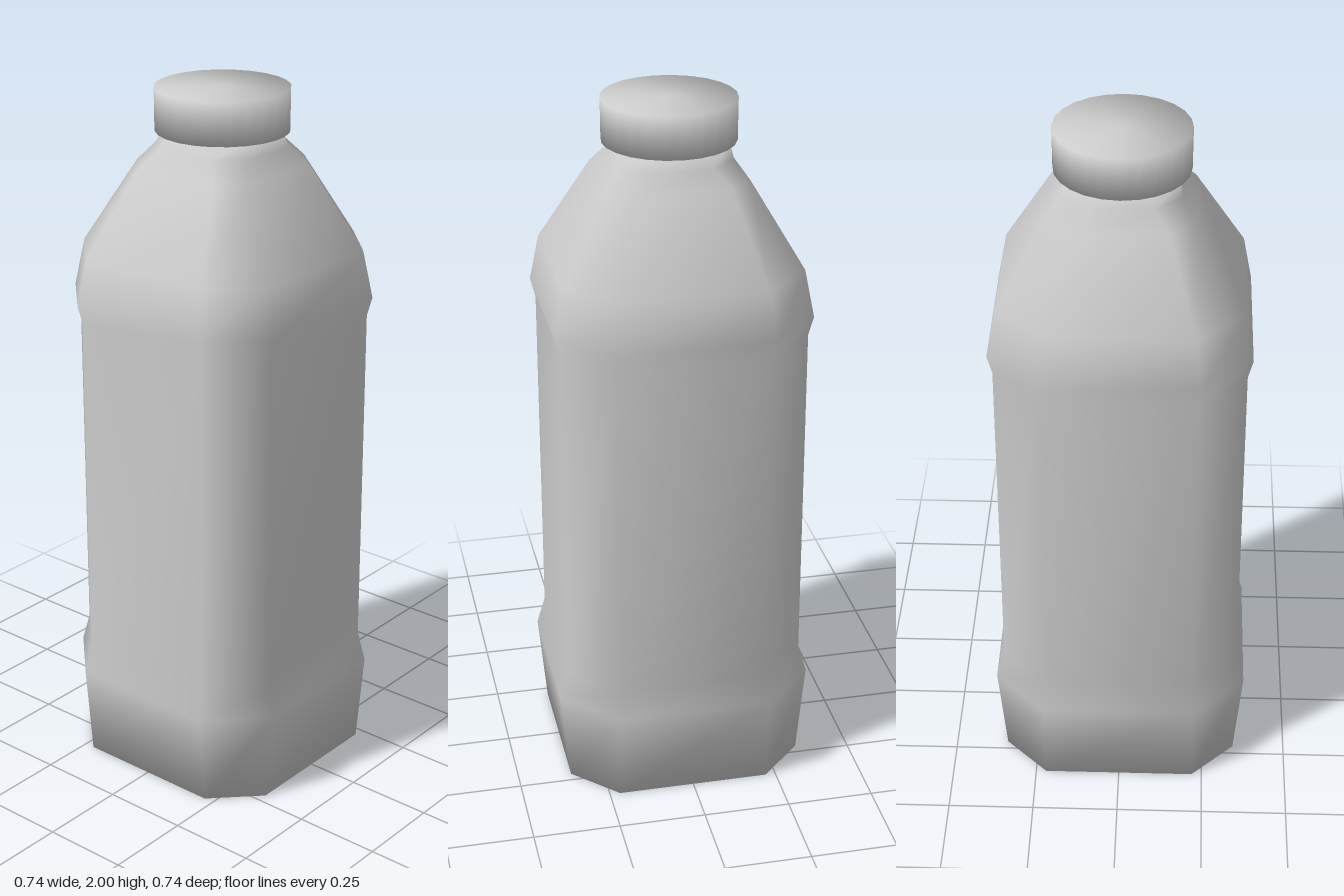
import * as THREE from 'three';

// Octagon ring: half width h, half length of the straight side c
function octagon(y, h, c) {
  return [[h, c], [h, -c], [c, -h], [-c, -h], [-h, -c], [-h, c], [-c, h], [c, h]]
    .map(([x, z]) => [x, y, z]);
}

// Round ring, running in the same direction as the octagon
function circle(y, r, n) {
  return Array.from({ length: n }, (_, i) => {
    const a = (i / n) * Math.PI * 2;
    return [r * Math.cos(a), y, -r * Math.sin(a)];
  });
}

// Skin rings from bottom to top and close both ends, with shared smooth normals
function loft(rings) {
  const n = rings[0].length;
  const points = rings.flat();
  const index = [];
  for (let k = 0; k < rings.length - 1; k++) {
    for (let i = 0; i < n; i++) {
      const a = k * n + i, b = k * n + ((i + 1) % n);
      index.push(a, b, b + n, a, b + n, a + n);
    }
  }
  const last = (rings.length - 1) * n;
  const bottom = points.push([0, rings[0][0][1], 0]) - 1;
  const top = points.push([0, rings[rings.length - 1][0][1], 0]) - 1;
  for (let i = 0; i < n; i++) {
    const j = (i + 1) % n;
    index.push(bottom, j, i, top, last + i, last + j);
  }
  const geometry = new THREE.BufferGeometry();
  geometry.setAttribute('position', new THREE.Float32BufferAttribute(points.flat(), 3));
  geometry.setIndex(index);
  geometry.computeVertexNormals();
  return geometry;
}

export function createModel() {
  const group = new THREE.Group();
  group.name = 'bottle';
  const material = new THREE.MeshStandardMaterial({ color: 0xcccccc });

  // Body: base bulge, recessed grip, shoulder bulge, sloped shoulder and neck
  const sections = [
    [0, 0.345, 0.22], [0.27, 0.37, 0.22], [0.355, 0.346, 0.215],
    [1.36, 0.346, 0.215], [1.415, 0.36, 0.22], [1.55, 0.335, 0.205],
    [1.79, 0.197, 0.13], [1.84, 0.16, 0.09], [1.885, 0.152, 0.065],
  ];
  const body = new THREE.Mesh(loft(sections.map((s) => octagon(...s))), material);
  body.name = 'body';

  // Screw cap
  const cap = new THREE.Mesh(loft([circle(1.88, 0.186, 24), circle(2, 0.187, 24)]), material);
  cap.name = 'cap';

  group.add(body, cap);
  return group;
}
